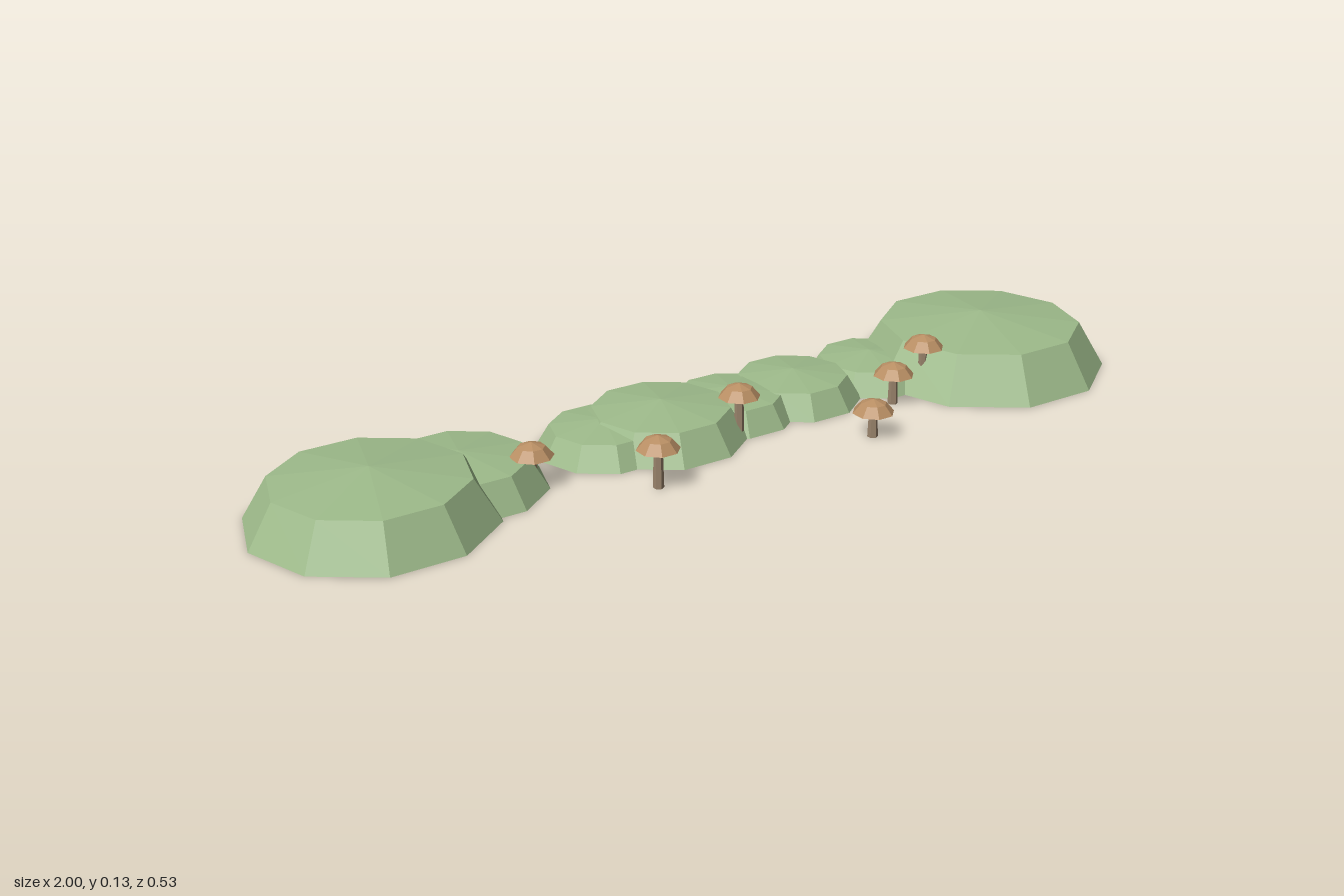
import * as THREE from 'three';

const material = (color) => new THREE.MeshStandardMaterial({ color, flatShading: true });

// Faceted solid of revolution from [radius, height] pairs, bottom to top
function facetedLathe(profile, sides, startAngle) {
  const points = profile.map(([r, y]) => new THREE.Vector2(r, y));
  return new THREE.LatheGeometry(points, sides, startAngle).toNonIndexed();
}

export function createModel() {
  const model = new THREE.Group();
  model.name = 'mushroomHedge';
  const leaf = material(0x9dba8a);
  const capBrown = material(0xb98f64);
  const stemBrown = material(0x9a846c);

  const add = (parent, geometry, mat, name, x, y, z) => {
    geometry.computeVertexNormals();
    const mesh = new THREE.Mesh(geometry, mat);
    mesh.name = name;
    mesh.position.set(x, y, z);
    parent.add(mesh);
  };

  // Ten-sided mounds, all of one proportion: [x, z, radius]
  const moundGeometry = facetedLathe([[0, 0], [1, 0], [0.79, 0.353], [0, 0.447]], 10, Math.PI / 2);
  [
    [-0.755, -0.02, 0.245], [-0.553, -0.056, 0.175],
    [-0.221, -0.067, 0.14], [-0.094, -0.051, 0.181], [0.09, -0.067, 0.14],
    [0.254, -0.069, 0.148], [0.466, -0.073, 0.14], [0.721, 0, 0.279],
  ].forEach(([x, z, r]) => add(model, moundGeometry.clone().scale(r, r, r), leaf, 'mound', x, 0, z));

  // Mushrooms: [x, z, total height]
  const capHeight = 0.029;
  const capGeometry = facetedLathe([[0, 0], [0.044, 0], [0.027, 0.02], [0, capHeight]], 8, Math.PI / 8);
  [
    [-0.435, 0.02, 0.094], [-0.236, 0.16, 0.11], [0.032, 0.048, 0.12],
    [0.262, 0.197, 0.083], [0.41, 0.08, 0.094], [0.507, 0.06, 0.13],
  ].forEach(([x, z, height]) => {
    const mushroom = new THREE.Group();
    mushroom.name = 'mushroom';
    mushroom.position.set(x, 0, z);
    const stem = height - capHeight;
    add(mushroom, new THREE.CylinderGeometry(0.009, 0.011, stem, 6), stemBrown, 'stem', 0, stem / 2, 0);
    add(mushroom, capGeometry.clone(), capBrown, 'cap', 0, stem, 0);
    model.add(mushroom);
  });

  return model;
}
